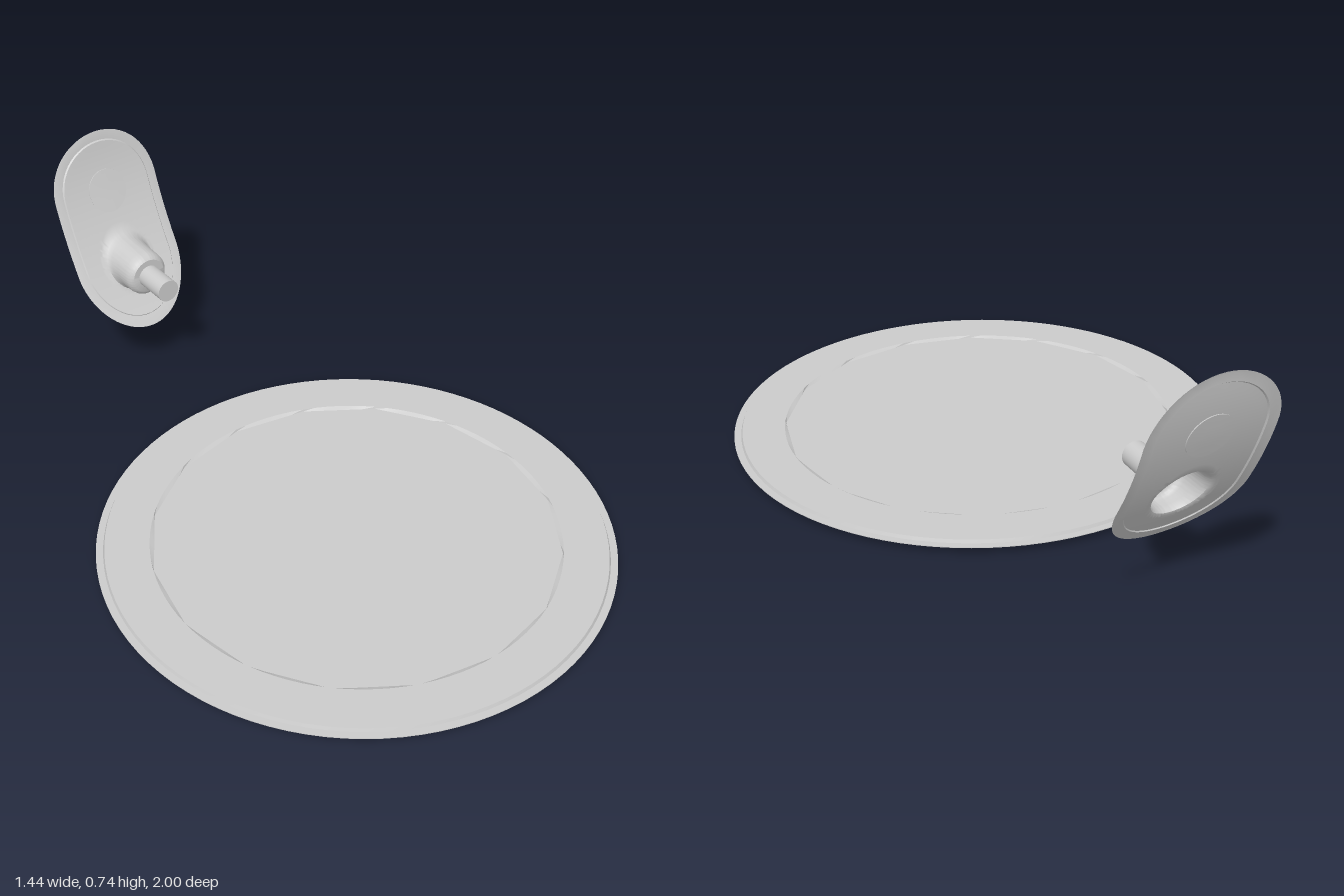
import * as THREE from 'three';
import { toCreasedNormals } from 'three/addons/utils/BufferGeometryUtils.js';

const material = new THREE.MeshStandardMaterial({ color: 0xcccccc, side: THREE.DoubleSide });

// Skins a list of closed rings; each ring maps an angle to a point [x, y, z].
function loft(name, rings, segments, crease = 0.5) {
  const positions = [], index = [];
  for (const ring of rings) {
    for (let k = 0; k < segments; k++) positions.push(...ring((k / segments) * Math.PI * 2));
  }
  for (let j = 0; j < rings.length - 1; j++) {
    for (let k = 0; k < segments; k++) {
      const n = (k + 1) % segments;
      const a = j * segments + k, b = j * segments + n;
      index.push(a, b, b + segments, a, b + segments, a + segments);
    }
  }
  const geometry = new THREE.BufferGeometry();
  geometry.setAttribute('position', new THREE.Float32BufferAttribute(positions, 3));
  geometry.setIndex(index);
  const mesh = new THREE.Mesh(toCreasedNormals(geometry, crease), material);
  mesh.name = name;
  return mesh;
}

// Bowed wall surface that the plate follows
const bow = (y) => -0.73 - 0.672 * (y - 0.177) + 0.616 * (y - 0.177) * (y - 0.43);

// Signed distance to the stadium outline of the plate
const outline = (x, y) => Math.hypot(x, Math.max(Math.abs(y - 0.455) - 0.102, 0)) - 0.178;

const socketY = 0.352;

// Distance from the socket centre to the outline, inset by a given amount
function reach(angle, inset) {
  let near = 0, far = 0.6;
  for (let i = 0; i < 30; i++) {
    const mid = (near + far) / 2;
    if (outline(Math.cos(angle) * mid, socketY + Math.sin(angle) * mid) < -inset) near = mid;
    else far = mid;
  }
  return near;
}

function buildPlate() {
  const rings = [];
  const add = (radius, depth) => rings.push((a) => {
    const r = radius(a), y = socketY + Math.sin(a) * r;
    return [Math.cos(a) * r, y, depth(y)];
  });
  // Rim and slightly raised panel
  add((a) => reach(a, 0), (y) => bow(y));
  add((a) => reach(a, 0.005), (y) => bow(y) + 0.001);
  add((a) => reach(a, 0.029), (y) => bow(y) + 0.001);
  add((a) => reach(a, 0.032), (y) => bow(y) + 0.005);
  for (let i = 1; i <= 12; i++) {
    add((a) => THREE.MathUtils.lerp(reach(a, 0.032), 0.085, i / 12), (y) => bow(y) + 0.005);
  }
  // Flare, hollow cup wall and rounded end
  const cup = [[0.076, 0.06], [0.071, 0.2], [0.069, 0.45], [0.068, 0.75], [0.066, 0.88], [0.061, 0.95], [0.054, 1], [0, 1]];
  for (const [r, t] of cup) add(() => r, (y) => THREE.MathUtils.lerp(bow(y) + 0.005, -0.737, t));
  return loft('wallPlate', rings, 128, 0.7);
}

// Round button that follows the bow, showing on both sides of the plate
function buildButton() {
  const profile = [[0, 0.002], [0.03, 0.002], [0.063, 0.002], [0.063, 0.007], [0.03, 0.008], [0, 0.008]];
  const rings = profile.map(([r, lift]) => (a) => {
    const y = 0.555 + r * Math.sin(a);
    return [r * Math.cos(a), y, bow(y) + lift];
  });
  return loft('button', rings, 48);
}

// Shallow round tray: flat base, sloped underside, thin lip, sunken 16-sided floor
function buildTray() {
  const profile = [
    [0, 0], [0.57, 0], [0.575, 0.003], [0.64, 0.006], [0.685, 0.012], [0.697, 0.018],
    [0.72, 0.02], [0.72, 0.022], [0.7, 0.022], [0.696, 0.031], [0.572, 0.031],
  ];
  const rings = profile.map(([r, y]) => (a) => [r * Math.cos(a), y, -r * Math.sin(a)]);
  const step = Math.PI / 8;
  rings.push((a) => {
    const r = 0.57 * Math.cos(step / 2) / Math.cos((a + 1e-9) % step - step / 2);
    return [r * Math.cos(a), 0.025, -r * Math.sin(a)];
  });
  rings.push(() => [0, 0.025, 0]);
  const tray = loft('tray', rings, 96, 0.35);
  tray.position.z = 0.28;
  return tray;
}

export function createModel() {
  const group = new THREE.Group();
  group.name = 'trayAndWallPlate';

  // Stub projecting from the cup
  const stub = new THREE.Mesh(new THREE.CylinderGeometry(0.035, 0.035, 0.11, 40), material);
  stub.name = 'stub';
  stub.rotation.x = Math.PI / 2;
  stub.position.set(0, socketY, -0.685);

  group.add(buildTray(), buildPlate(), buildButton(), stub);
  return group;
}
